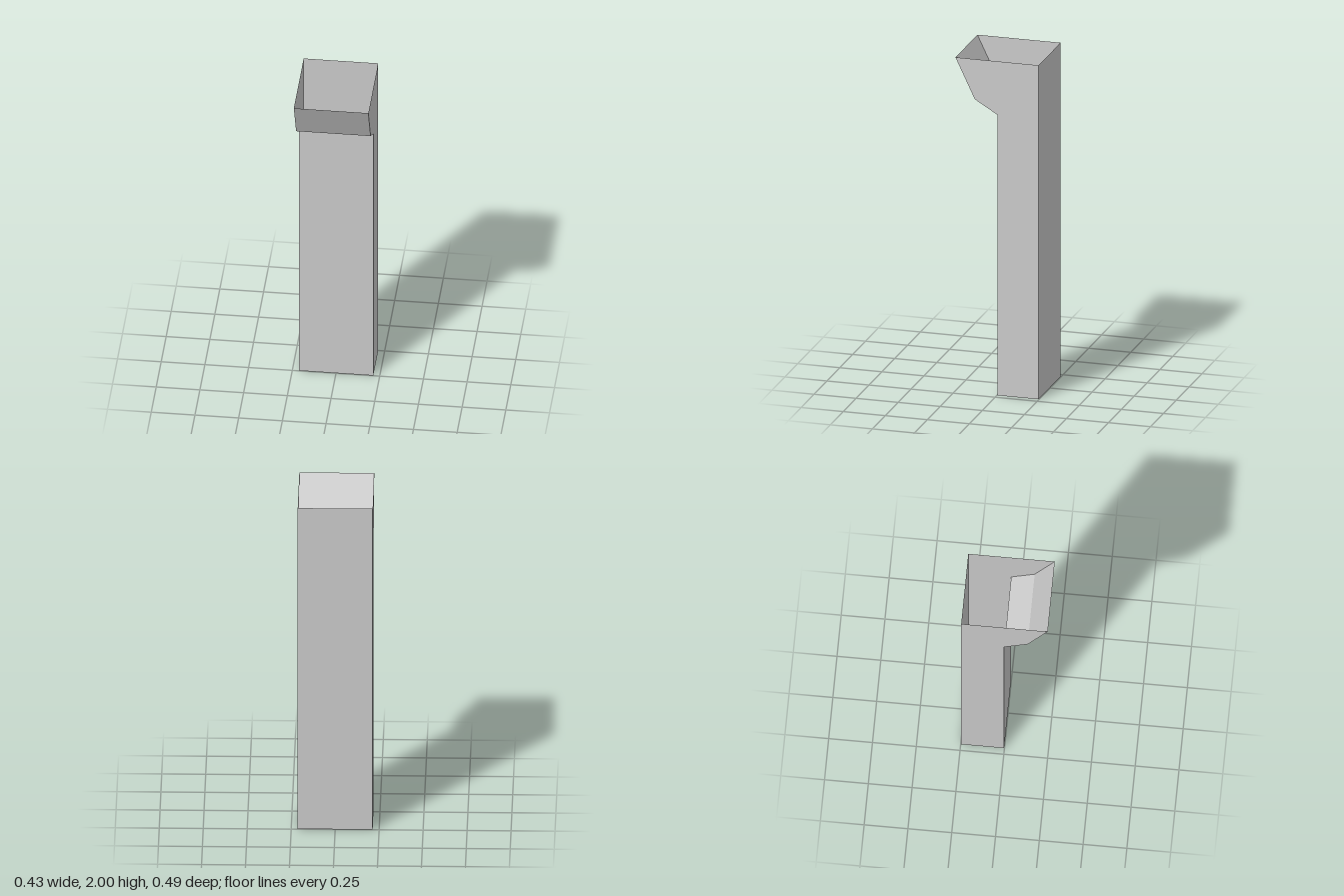
import * as THREE from 'three';

const HALF_WIDTH = 0.213;
const BACK = -0.247;

// Open rectangular duct through levels [height, z of the front wall]
function duct(name, levels, material) {
  const rings = levels.map(([y, front]) => [
    [-HALF_WIDTH, y, front],
    [HALF_WIDTH, y, front],
    [HALF_WIDTH, y, BACK],
    [-HALF_WIDTH, y, BACK],
  ]);
  const positions = [];
  for (let k = 0; k < rings.length - 1; k++) {
    for (let i = 0; i < 4; i++) {
      const j = (i + 1) % 4;
      const a = rings[k][i], b = rings[k][j], c = rings[k + 1][j], d = rings[k + 1][i];
      positions.push(...a, ...b, ...c, ...a, ...c, ...d);
    }
  }
  const geometry = new THREE.BufferGeometry();
  geometry.setAttribute('position', new THREE.Float32BufferAttribute(positions, 3));
  geometry.computeVertexNormals();
  const mesh = new THREE.Mesh(geometry, material);
  mesh.name = name;
  return mesh;
}

export function createModel() {
  const material = new THREE.MeshStandardMaterial({
    color: 0xcccccc, flatShading: true, side: THREE.DoubleSide,
  });
  const model = new THREE.Group();
  model.name = 'downpipe';

  // Straight shaft, open at the bottom
  model.add(duct('shaft', [[0, -0.002], [1.68, -0.002]], material));

  // Hopper mouth flaring forward in two slopes, open at the top
  model.add(duct('hopper', [[1.68, -0.002], [1.76, 0.132], [2, 0.247]], material));

  return model;
}
